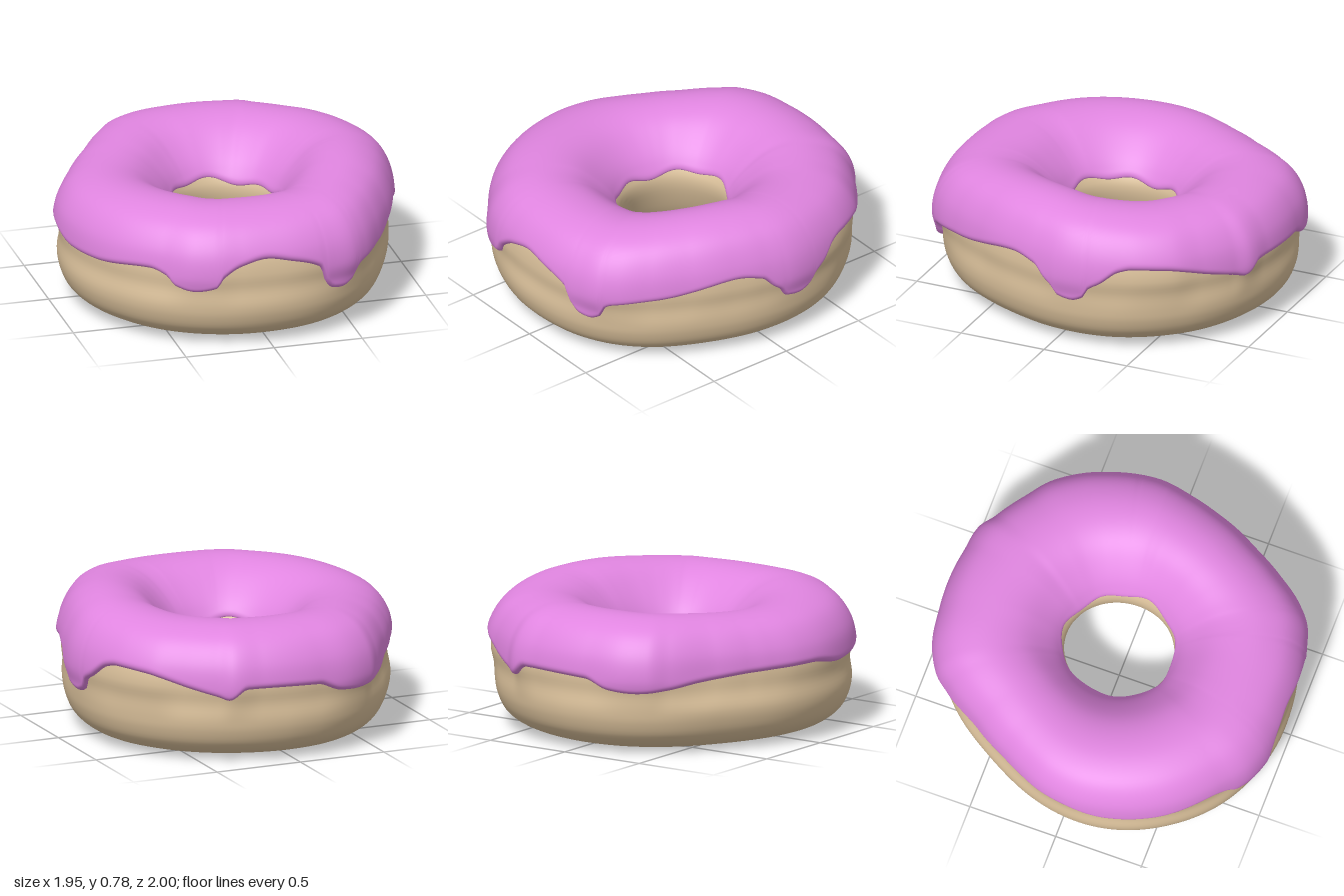
import * as THREE from 'three';

const COLS = 360;

// Smooth periodic curve without overshoot through [degrees, value] pairs.
function periodic(list) {
  const n = list.length;
  const deg = (i) => list[((i % n) + n) % n][0] + 360 * Math.floor(i / n);
  const val = (i) => list[((i % n) + n) % n][1];
  const sec = (i) => (val(i + 1) - val(i)) / (deg(i + 1) - deg(i));
  const slope = (i) => {
    const a = sec(i - 1), b = sec(i);
    return a * b <= 0 ? 0 : (2 * a * b) / (a + b);
  };
  return (degrees) => {
    const d = ((degrees % 360) + 360) % 360;
    let i = n - 1;
    while (i >= 0 && deg(i) > d) i--;
    const h = deg(i + 1) - deg(i), t = (d - deg(i)) / h, s = 1 - t;
    return val(i) * s * s * (1 + 2 * t) + val(i + 1) * t * t * (3 - 2 * t)
      + h * t * s * (s * slope(i) - t * slope(i + 1));
  };
}

// Uneven outer outline seen from above; 0 degrees is +x, 90 is +z.
const outline = periodic([
  [6, 0.945], [18, 0.93], [31, 0.934], [45, 0.97], [56, 1.018], [63, 1.037], [70, 1.026],
  [80, 1.018], [90, 1.012], [100, 1.02], [109, 1.038], [115, 1.042], [126, 1.02], [141, 1.015],
  [153, 1.004], [163, 0.993], [174, 0.982], [186, 0.957], [198, 0.92], [207, 0.905], [218, 0.908],
  [235, 0.973], [242, 1.012], [251, 1.023], [263, 1.01], [282, 1.015], [291, 1.034], [297, 1.013],
  [308, 1.008], [318, 1.022], [328, 1.015], [336, 1.003], [349, 0.988], [354, 0.98],
]);

// The underside keeps a calmer outline than the icing.
function baseOutline(d) {
  let sum = 0;
  for (let k = -20; k <= 20; k += 4) sum += outline(d + k);
  return sum / 11;
}

// Height of the icing's dripping outer edge.
const dripEdge = periodic([
  [2, 0.40], [6, 0.46], [15, 0.49], [38, 0.43], [58, 0.39], [60, 0.37], [62, 0.30], [65.5, 0.275],
  [69, 0.285], [71.5, 0.33], [74, 0.43], [84, 0.49], [92, 0.515], [100, 0.485], [106, 0.42],
  [108, 0.365], [115, 0.34], [121, 0.365], [124, 0.415], [130, 0.445], [151, 0.41], [164, 0.405],
  [180, 0.44], [204, 0.43], [225, 0.40], [236, 0.37], [246, 0.355], [255, 0.37], [263, 0.42],
  [280, 0.43], [287, 0.43], [293, 0.37], [296, 0.385], [306, 0.43], [321, 0.495], [331.5, 0.505],
  [336, 0.49], [342, 0.42], [346, 0.38], [348, 0.32], [352, 0.295], [357, 0.31], [359, 0.36],
]);

// Height of the icing's edge inside the hole.
const holeEdge = (a) => 0.46 + 0.014 * Math.sin(3 * a + 1) + 0.012 * Math.sin(7 * a);

// Dough section: [fraction from hole to outside, height], starting at the hole wall.
const SECTION = [
  [0, 0.42], [0.05, 0.27], [0.18, 0.11], [0.36, 0.025], [0.5, 0], [0.66, 0.008], [0.82, 0.04],
  [0.93, 0.1], [0.985, 0.18], [1, 0.25], [0.99, 0.34], [1, 0.43], [0.965, 0.55], [0.86, 0.65],
  [0.7, 0.7], [0.53, 0.708], [0.36, 0.68], [0.2, 0.61], [0.07, 0.52],
];

function sectionCurve(a) {
  const d = THREE.MathUtils.radToDeg(a);
  const hole = 0.288 + 0.015 * Math.sin(a) ** 2;
  const outer = outline(d) - 0.033;
  const base = baseOutline(d) - 0.035 - 0.015 * Math.cos(a);
  // The top swells on the +x side and sags on the other.
  const lean = Math.cos(a - 0.25);
  const swell = 1 + (lean > 0 ? 0.14 : -0.09) * lean ** 4;
  return new THREE.CatmullRomCurve3(SECTION.map(([f, y]) => {
    const rim = THREE.MathUtils.lerp(base, outer, THREE.MathUtils.smoothstep(y, 0.22, 0.43));
    return new THREE.Vector3(hole + f * (rim - hole), y > 0.42 ? 0.42 + (y - 0.42) * swell : y, 0);
  }), true);
}

// Skin a ring of (radius, height) sections; closed joins each section's ends.
function ringGeometry(sectionAt, closed) {
  const pos = [], index = [];
  let rows = 0;
  for (let c = 0; c < COLS; c++) {
    const a = (c / COLS) * Math.PI * 2;
    const pts = sectionAt(a);
    rows = pts.length;
    for (const p of pts) pos.push(p.x * Math.cos(a), p.y, p.x * Math.sin(a));
  }
  for (let c = 0; c < COLS; c++) {
    const next = (c + 1) % COLS;
    for (let r = 0; r < (closed ? rows : rows - 1); r++) {
      const r2 = (r + 1) % rows;
      const p = c * rows + r, q = c * rows + r2, s = next * rows + r, t = next * rows + r2;
      index.push(p, q, s, q, t, s);
    }
  }
  const g = new THREE.BufferGeometry();
  g.setAttribute('position', new THREE.Float32BufferAttribute(pos, 3));
  g.setIndex(index);
  g.computeVertexNormals();
  return g;
}

function doughSection(a) {
  return sectionCurve(a).getPoints(76).slice(0, 76);
}

// Icing follows the dough between its two edges, raised with a rounded lip.
function icingSection(a) {
  const curve = sectionCurve(a), n = SECTION.length, rows = 64, lip = 0.035;
  const crossing = (lo, hi, y) => {
    const rising = curve.getPoint(hi).y > curve.getPoint(lo).y;
    for (let i = 0; i < 24; i++) {
      const mid = (lo + hi) / 2;
      if ((curve.getPoint(mid).y < y) === rising) lo = mid; else hi = mid;
    }
    return (lo + hi) / 2;
  };
  const u0 = crossing(9 / n, 13 / n, dripEdge(THREE.MathUtils.radToDeg(a)));
  const u1 = crossing(16 / n, 0.9999, holeEdge(a));
  const us = [], pts = [], dist = [0];
  for (let i = 0; i <= rows; i++) {
    us.push(u0 + (u1 - u0) * (0.5 - 0.5 * Math.cos((Math.PI * i) / rows)));
    pts.push(curve.getPoint(us[i]));
    if (i) dist.push(dist[i - 1] + pts[i].distanceTo(pts[i - 1]));
  }
  return pts.map((p, i) => {
    const d = Math.min(1, Math.min(dist[i], dist[rows] - dist[i]) / lip);
    // Thinner towards the hole.
    const thick = 0.036 - 0.018 * THREE.MathUtils.smoothstep(dist[i] / dist[rows], 0.5, 1);
    const off = thick * Math.sqrt(1 - (1 - d) ** 2) - 0.003;
    const t = curve.getTangent(us[i]);
    return new THREE.Vector3(p.x + t.y * off, p.y - t.x * off, 0);
  });
}

export function createModel() {
  const group = new THREE.Group();
  group.name = 'doughnut';

  const dough = new THREE.Mesh(ringGeometry(doughSection, true),
    new THREE.MeshStandardMaterial({ color: 0xdcc29c }));
  dough.name = 'dough';

  const icing = new THREE.Mesh(ringGeometry(icingSection, false),
    new THREE.MeshStandardMaterial({ color: 0xe085e0, side: THREE.DoubleSide }));
  icing.name = 'icing';

  group.add(dough, icing);
  return group;
}
